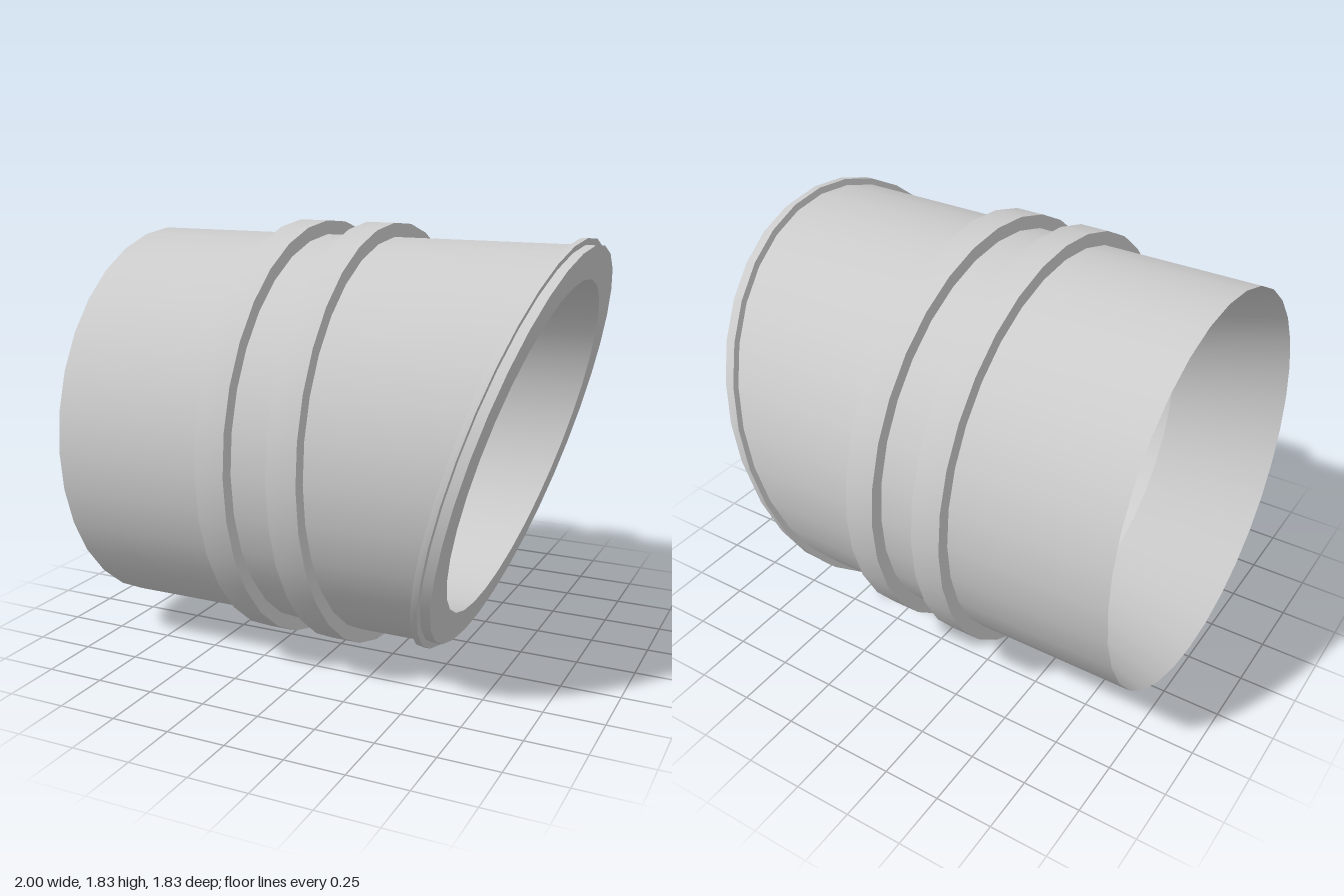
import * as THREE from 'three';
import { toCreasedNormals } from 'three/addons/utils/BufferGeometryUtils.js';

const SIDES = 32;
const AXIS_Y = 0.918;
const SLOPE = 0.2975; // lean of the mitred end
const R_PIPE = 0.858, R_BORE = 0.72, R_RIB = 0.917, R_COLLAR = 0.885;
const END = 0.745; // centre of the mitred end

const material = new THREE.MeshStandardMaterial({ color: 0xcccccc, side: THREE.DoubleSide });

// Revolves [x, radius, slanted] points around the x axis; slanted points follow the mitre.
function ring(name, profile) {
  const geo = new THREE.LatheGeometry(profile.map(([x, r]) => new THREE.Vector2(r, x)), SIDES);
  geo.rotateZ(-Math.PI / 2);
  const pos = geo.attributes.position;
  for (let i = 0; i < pos.count; i++) {
    if (profile[i % profile.length][2]) pos.setX(i, pos.getX(i) + SLOPE * pos.getY(i));
  }
  geo.translate(0, AXIS_Y, 0);
  const mesh = new THREE.Mesh(toCreasedNormals(geo, 0.24), material);
  mesh.name = name;
  return mesh;
}

export function createModel() {
  const group = new THREE.Group();
  group.name = 'mitredPipe';

  // Pipe wall: outside, mitred face, straight bore, then a flare to a thin rim
  group.add(ring('pipe', [
    [-1, R_PIPE, false],
    [END, R_PIPE, true],
    [END, R_BORE, true],
    [-0.5, R_BORE, false],
    [-1, R_PIPE, false],
  ]));

  // Two raised ribs
  for (const [name, x] of [['leftRib', -0.305], ['rightRib', 0.01]]) {
    group.add(ring(name, [
      [x, R_PIPE - 0.02], [x, R_RIB], [x + 0.128, R_RIB], [x + 0.128, R_PIPE - 0.02],
    ]));
  }

  // Thin slanted collar just behind the mitred face
  group.add(ring('collar', [
    [END - 0.07, R_PIPE - 0.02, true],
    [END - 0.07, R_COLLAR, true],
    [END - 0.042, R_COLLAR, true],
    [END - 0.042, R_PIPE - 0.02, true],
  ]));

  return group;
}
